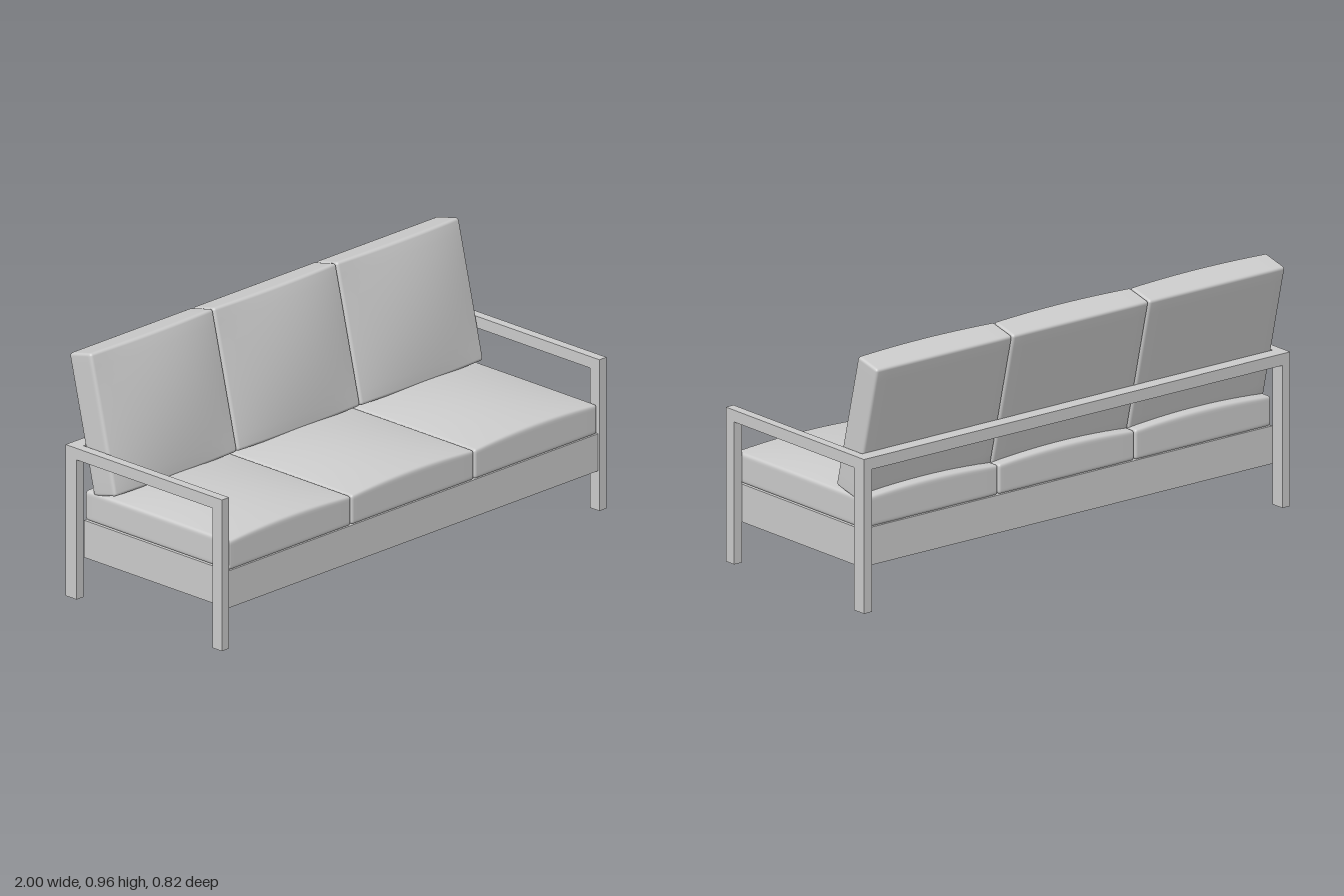
import * as THREE from 'three';
import { mergeVertices } from 'three/addons/utils/BufferGeometryUtils.js';

const material = new THREE.MeshStandardMaterial({ color: 0xcccccc });

// Rounded pad whose top face (+y) swells in the middle
function cushionGeometry(w, h, d, crown, edgeShare, radius = 0.012) {
  const n = 8, flat = 6; // steps from centre to edge, of which the flat part
  const half = [w / 2, h / 2, d / 2];
  let geo = new THREE.BoxGeometry(w, h, d, n * 2, n * 2, n * 2);
  geo.deleteAttribute('uv');
  geo.deleteAttribute('normal');
  geo = mergeVertices(geo, 1e-5);
  const pos = geo.attributes.position;
  const p = new THREE.Vector3(), core = new THREE.Vector3(), off = new THREE.Vector3();
  for (let i = 0; i < pos.count; i++) {
    p.fromBufferAttribute(pos, i);
    for (let a = 0; a < 3; a++) {
      const k = (p.getComponent(a) / half[a]) * n;
      const inner = half[a] - radius;
      core.setComponent(a, inner * THREE.MathUtils.clamp(k / flat, -1, 1));
      off.setComponent(a, Math.sign(k) * Math.max(0, Math.abs(k) - flat) / (n - flat));
    }
    p.copy(core).addScaledVector(off.normalize(), radius);
    // crown fades to the sides fully and to front and back partly
    const u = p.x / half[0], v = p.z / half[2];
    const lift = THREE.MathUtils.clamp(p.y / half[1], 0, 1);
    p.y += crown * lift * (1 - u * u) * (edgeShare + (1 - edgeShare) * (1 - v * v));
    pos.setXYZ(i, p.x, p.y, p.z);
  }
  geo.computeVertexNormals();
  return geo;
}

export function createModel() {
  const sofa = new THREE.Group();
  sofa.name = 'sofa';

  // Box given by its limits on each axis
  const box = (name, x0, x1, y0, y1, z0, z1, parent = sofa) => {
    const mesh = new THREE.Mesh(new THREE.BoxGeometry(x1 - x0, y1 - y0, z1 - z0), material);
    mesh.position.set((x0 + x1) / 2, (y0 + y1) / 2, (z0 + z1) / 2);
    mesh.name = name;
    parent.add(mesh);
  };

  // Base and rear rail
  box('base', -0.963, 0.963, 0.155, 0.3, -0.327, 0.404);
  box('backRail', -0.963, 0.963, 0.545, 0.59, -0.385, -0.329);

  // Arm frames
  for (const side of [-1, 1]) {
    const arm = new THREE.Group();
    arm.name = side > 0 ? 'leftArm' : 'rightArm';
    const x0 = side > 0 ? 0.963 : -1, x1 = x0 + 0.037;
    box('frontLeg', x0, x1, 0, 0.545, 0.362, 0.41, arm);
    box('backLeg', x0, x1, 0, 0.545, -0.385, -0.329, arm);
    box('armrest', x0, x1, 0.545, 0.59, -0.385, 0.41, arm);
    sofa.add(arm);
  }

  // Seat and back cushions
  const seatGeo = cushionGeometry(0.638, 0.115, 0.732, 0.033, 0.4);
  const backGeo = cushionGeometry(0.638, 0.115, 0.54, 0.038, 0.35);
  backGeo.rotateX(Math.PI / 2);
  for (let i = -1; i <= 1; i++) {
    const seat = new THREE.Mesh(seatGeo, material);
    seat.name = 'seatCushion';
    seat.position.set(i * 0.64, 0.3575, 0.039);
    const back = new THREE.Mesh(backGeo, material);
    back.name = 'backCushion';
    back.position.set(i * 0.64, 0.68, -0.291);
    back.rotation.x = -0.235;
    sofa.add(seat, back);
  }
  return sofa;
}
